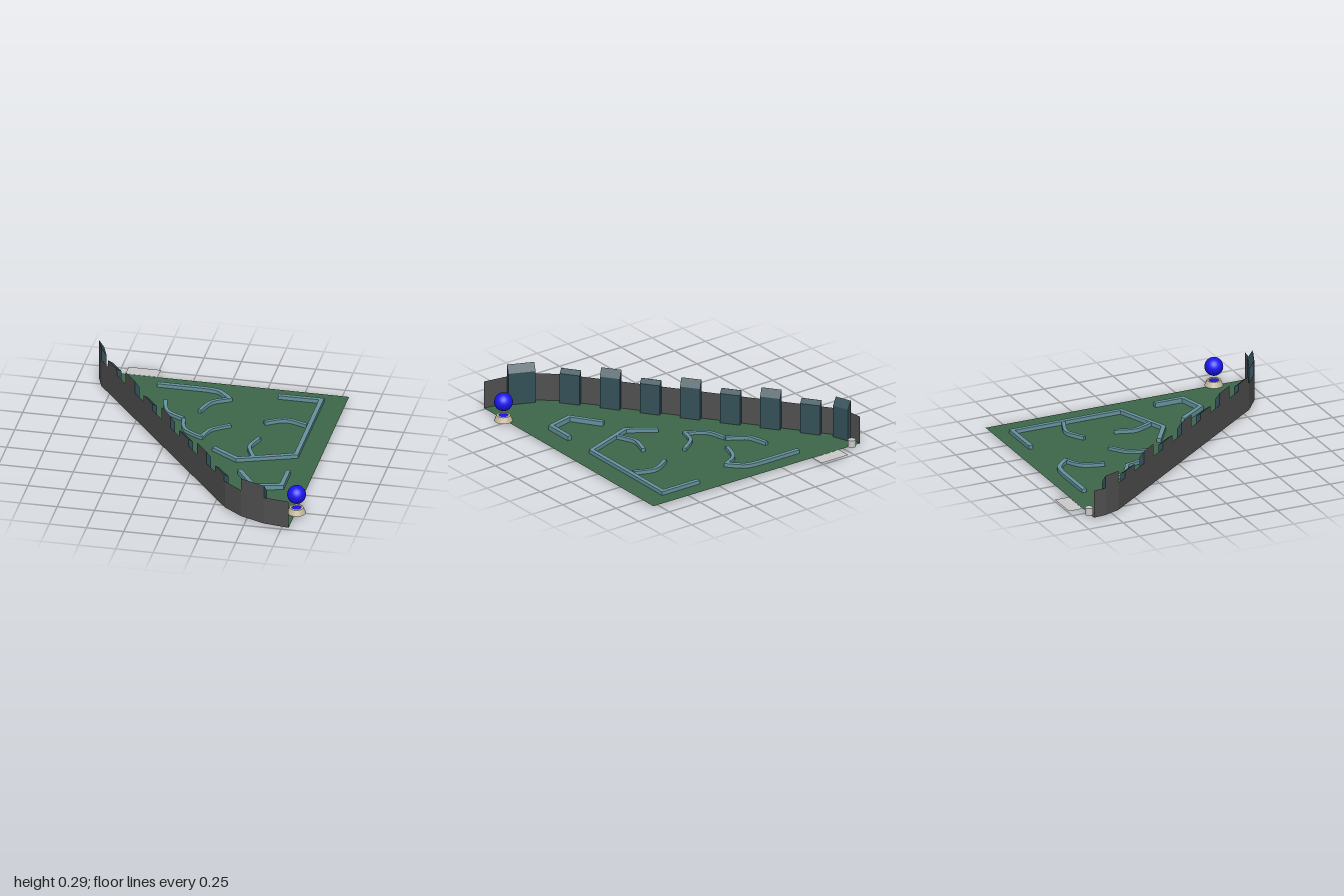
import * as THREE from 'three';

const FLOOR_Y = 0.013, WALL_TOP = 0.205;
const mat = (color) => new THREE.MeshStandardMaterial({ color, flatShading: true, side: THREE.DoubleSide });
const mats = {
  floor: mat(0x3d6749), wall: mat(0x505050), block: mat(0x335058), maze: mat(0x66949f),
  stand: mat(0xc8bba0), grey: mat(0xcccccc),
  ball: new THREE.MeshStandardMaterial({ color: 0x1a14f0 }),
};

function add(parent, name, geometry, material, x = 0, y = 0, z = 0) {
  const mesh = new THREE.Mesh(geometry, material);
  mesh.name = name;
  mesh.position.set(x, y, z);
  parent.add(mesh);
  return mesh;
}

function subGroup(parent, name) {
  const g = new THREE.Group();
  g.name = name;
  parent.add(g);
  return g;
}

// Plan points are [x, z]; shapes are drawn in (x, -z) and laid flat.
const planShape = (pts) => new THREE.Shape(pts.map(([x, z]) => new THREE.Vector2(x, -z)));

// Thin upright panel standing between two plan points
function panel([x0, z0], [x1, z1], y0, y1) {
  const g = new THREE.BufferGeometry();
  g.setAttribute('position', new THREE.Float32BufferAttribute(
    [x0, y0, z0, x1, y0, z1, x1, y1, z1, x0, y1, z0], 3));
  g.setIndex([0, 1, 2, 0, 2, 3]);
  g.computeVertexNormals();
  return g;
}

// Constant-width strip with mitred corners along a plan path
function strip(path, width, height) {
  const p = path.map(([x, z]) => new THREE.Vector2(x, z));
  const left = [], right = [];
  p.forEach((c, i) => {
    const a = c.clone().sub(p[Math.max(i - 1, 0)]).normalize();
    const b = p[Math.min(i + 1, p.length - 1)].clone().sub(c).normalize();
    const t = a.clone().add(b).normalize();
    const cos = Math.max(t.dot(i ? a : b), 0.4);
    const off = new THREE.Vector2(-t.y, t.x).multiplyScalar(width / 2 / cos);
    left.push([c.x + off.x, c.y + off.y]);
    right.unshift([c.x - off.x, c.y - off.y]);
  });
  const g = new THREE.ExtrudeGeometry(planShape([...left, ...right]), { depth: height, bevelEnabled: false });
  return g.rotateX(-Math.PI / 2);
}

const smooth = (pts) => new THREE.SplineCurve(pts.map((q) => new THREE.Vector2(...q)))
  .getPoints(10).map((v) => [v.x, v.y]);

export function createModel() {
  const model = new THREE.Group();
  model.name = 'course';

  // Outer edge that carries the wall, from back to front
  const rim = [[-0.87, -0.9], [-0.86, -0.81], [-0.82, -0.7], [0.33, 0.8], [0.46, 0.9], [0.63, 0.97], [0.8, 0.995]];

  // Floor
  const floor = new THREE.ShapeGeometry(planShape([...rim, [0.8, -0.89]])).rotateX(-Math.PI / 2);
  add(model, 'floor', floor, mats.floor, 0, FLOOR_Y, 0);

  // Wall
  const wall = subGroup(model, 'wall');
  for (let i = 0; i < rim.length - 1; i++) {
    add(wall, 'wallPanel', panel(rim[i], rim[i + 1], FLOOR_Y, WALL_TOP), mats.wall);
  }

  // Buttresses against the inside of the wall, alternately tall and low, with sloping tops
  const battlements = subGroup(model, 'battlements');
  const onWall = (x) => [x, -0.7 + (x + 0.82) * 1.5 / 1.15];
  const spans = [[rim[1], rim[2]]];
  for (let i = 0; i < 7; i++) {
    const x = -0.76 + i * 0.1665;
    spans.push([onWall(x), onWall(x + 0.083)]);
  }
  spans.push([rim[4], rim[5]]);
  spans.forEach(([a, b], i) => {
    const [outer, inner] = i % 2 ? [0.25, 0.225] : [0.29, 0.238];
    const d = new THREE.Vector3(b[0] - a[0], 0, b[1] - a[1]);
    const length = d.length();
    d.normalize();
    const n = new THREE.Vector3(d.z, 0, -d.x);
    const profile = new THREE.Shape([[0.002, FLOOR_Y], [0.035, FLOOR_Y], [0.035, inner], [0.002, outer]]
      .map((q) => new THREE.Vector2(...q)));
    const g = new THREE.ExtrudeGeometry(profile, { depth: length, bevelEnabled: false });
    g.applyMatrix4(new THREE.Matrix4().makeBasis(n, new THREE.Vector3(0, 1, 0), d));
    add(battlements, 'buttress', g, mats.block, a[0], 0, a[1]);
    add(battlements, 'merlonFace', panel(a, b, WALL_TOP, outer), mats.wall);
  });

  // Low maze walls: path, base height
  const maze = subGroup(model, 'maze');
  const paths = [
    [[[-0.46, -0.775], [-0.16, -0.775],
      ...smooth([[-0.12, -0.773], [-0.05, -0.76], [0, -0.72], [0.055, -0.66]])], 0.005],
    [smooth([[0.05, -0.668], [-0.04, -0.62], [-0.08, -0.56], [-0.11, -0.46]]), 0.004],
    [smooth([[-0.36, -0.56], [-0.325, -0.43], [-0.27, -0.38], [-0.19, -0.335]]), 0.004],
    [smooth([[-0.19, -0.33], [-0.16, -0.21], [-0.1, -0.155], [-0.02, -0.11]]), 0.001],
    [smooth([[-0.025, -0.1], [0.005, -0.21], [0.05, -0.26], [0.13, -0.315]]), 0],
    [[[0.35, -0.775], [0.64, -0.775], [0.64, 0.015], [0.27, 0.15], [0.09, 0.03]], 0.006],
    [smooth([[0.34, -0.39], [0.43, -0.445], [0.5, -0.455], [0.62, -0.41]]), 0.005],
    [smooth([[0.355, -0.17], [0.32, -0.06], [0.325, 0], [0.37, 0.1]]), 0.005],
    [[[0.64, 0.26], [0.64, 0.465], [0.46, 0.51], [0.325, 0.315]], 0.012],
  ];
  paths.forEach(([path, y], i) => {
    add(maze, 'mazeWall', strip(path, i === 0 || i === 5 || i === 8 ? 0.03 : 0.025, 0.033), mats.maze, 0, y, 0);
  });

  // Ball floating over its stand
  const goal = subGroup(model, 'ballStand');
  goal.position.set(0.805, 0, 0.77);
  const bowl = [[0, 0.012], [0.062, 0.012], [0.046, 0.05], [0.034, 0.05], [0.03, 0.042]];
  add(goal, 'stand', new THREE.LatheGeometry(bowl.map((q) => new THREE.Vector2(...q)), 20), mats.stand);
  add(goal, 'standInset', new THREE.CircleGeometry(0.032, 20).rotateX(-Math.PI / 2), mats.ball, 0, 0.046, 0);
  add(goal, 'ball', new THREE.SphereGeometry(0.062, 24, 16), mats.ball, 0, 0.145, 0);

  // Entrance plate and peg on the back edge
  add(model, 'entrancePlate', new THREE.PlaneGeometry(0.215, 0.1).rotateX(-Math.PI / 2), mats.grey, -0.593, FLOOR_Y, -0.95);
  add(model, 'peg', new THREE.CylinderGeometry(0.026, 0.026, 0.05, 20), mats.grey, -0.8, 0.037, -0.903);

  return model;
}
